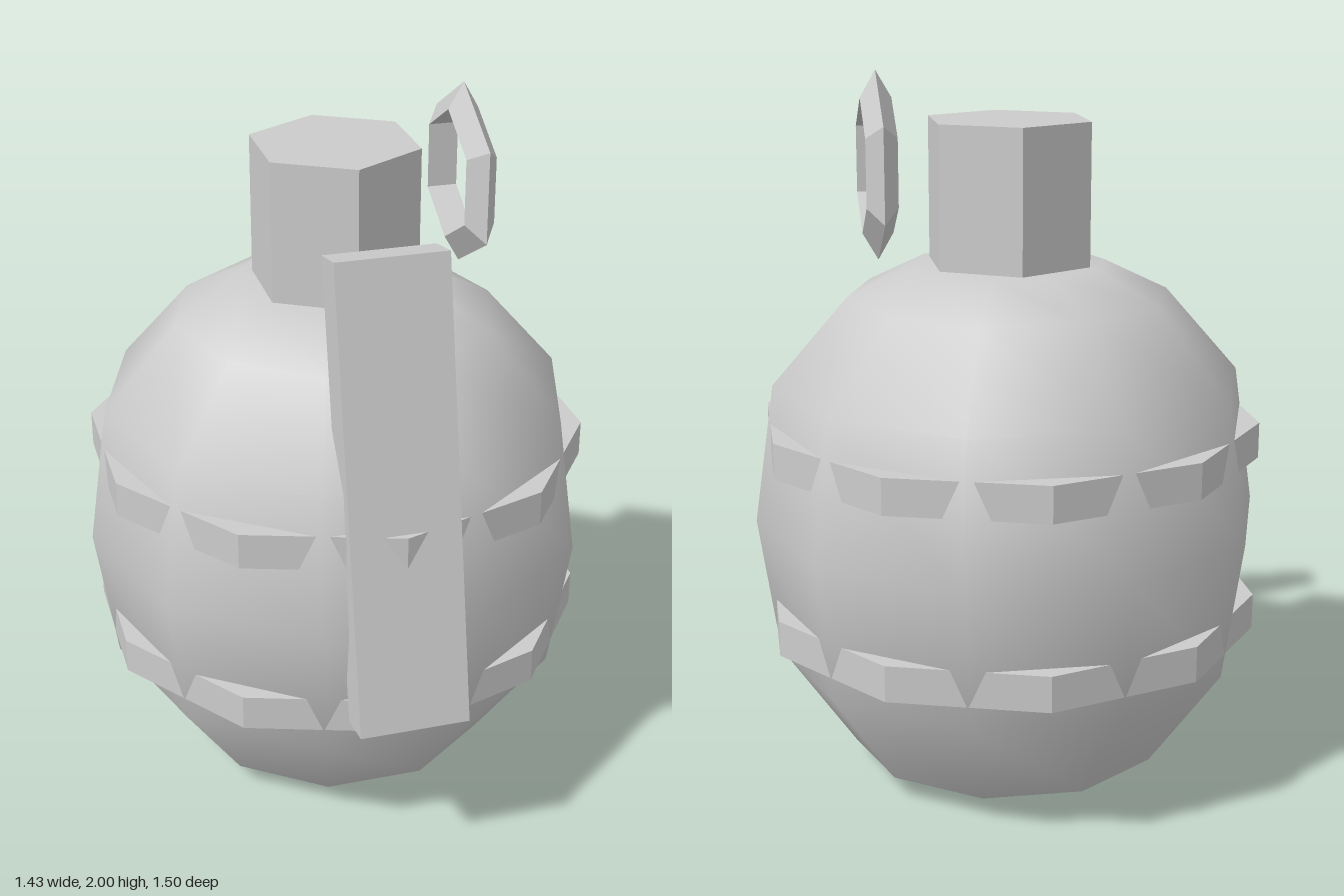
import * as THREE from 'three';

export function createModel() {
  const group = new THREE.Group();
  group.name = 'handGrenade';
  const smooth = new THREE.MeshStandardMaterial({ color: 0xcccccc });
  smooth.name = 'grey metal';
  // same single grey, faceted for the hard-edged parts
  const Z = -0.045;

  const add = (name, geometry, x, y, z, flat = true) => {
    let g = geometry;
    if (flat) {
      g = geometry.toNonIndexed();
      g.computeVertexNormals();
    }
    const mesh = new THREE.Mesh(g, smooth);
    mesh.name = name;
    mesh.position.set(x, y, z);
    group.add(mesh);
    return mesh;
  };

  const lathe = (pts) => new THREE.LatheGeometry(
    pts.map(([r, y]) => new THREE.Vector2(r, y)), 10, Math.PI / 2);

  // ten-sided rounded body and its shallow pointed base
  add('body', lathe([[0.45, 0.065], [0.66, 0.362], [0.717, 0.755],
    [0.66, 1.145], [0.45, 1.385], [0.27, 1.472], [0, 1.472]]), 0, 0, Z, false);
  add('base', lathe([[0, 0], [0.45, 0.065]]), 0, 0, Z, false);

  // two bands, their corners breaking through the middle of each body face
  for (const [name, y] of [['lowerBand', 0.483], ['upperBand', 0.99]]) {
    add(name, new THREE.CylinderGeometry(0.704, 0.704, 0.1, 10), 0, y, Z);
  }

  // hexagonal fuse cap
  add('fuseCap', new THREE.CylinderGeometry(0.238, 0.238, 0.465, 6), 0, 1.6325, Z);

  // safety lever leaning along the front
  const lever = add('lever', new THREE.BoxGeometry(0.3, 1.263, 0.115), 0, 1.114, 0.565);
  lever.rotation.x = -0.211;

  // six-sided pull ring with a triangular section
  const ring = new THREE.TorusGeometry(0.207, 0.049, 3, 6);
  ring.rotateZ(Math.PI / 6);
  ring.rotateY(Math.PI / 2);
  add('pullRing', ring, 0.36, 1.744, Z);

  return group;
}
